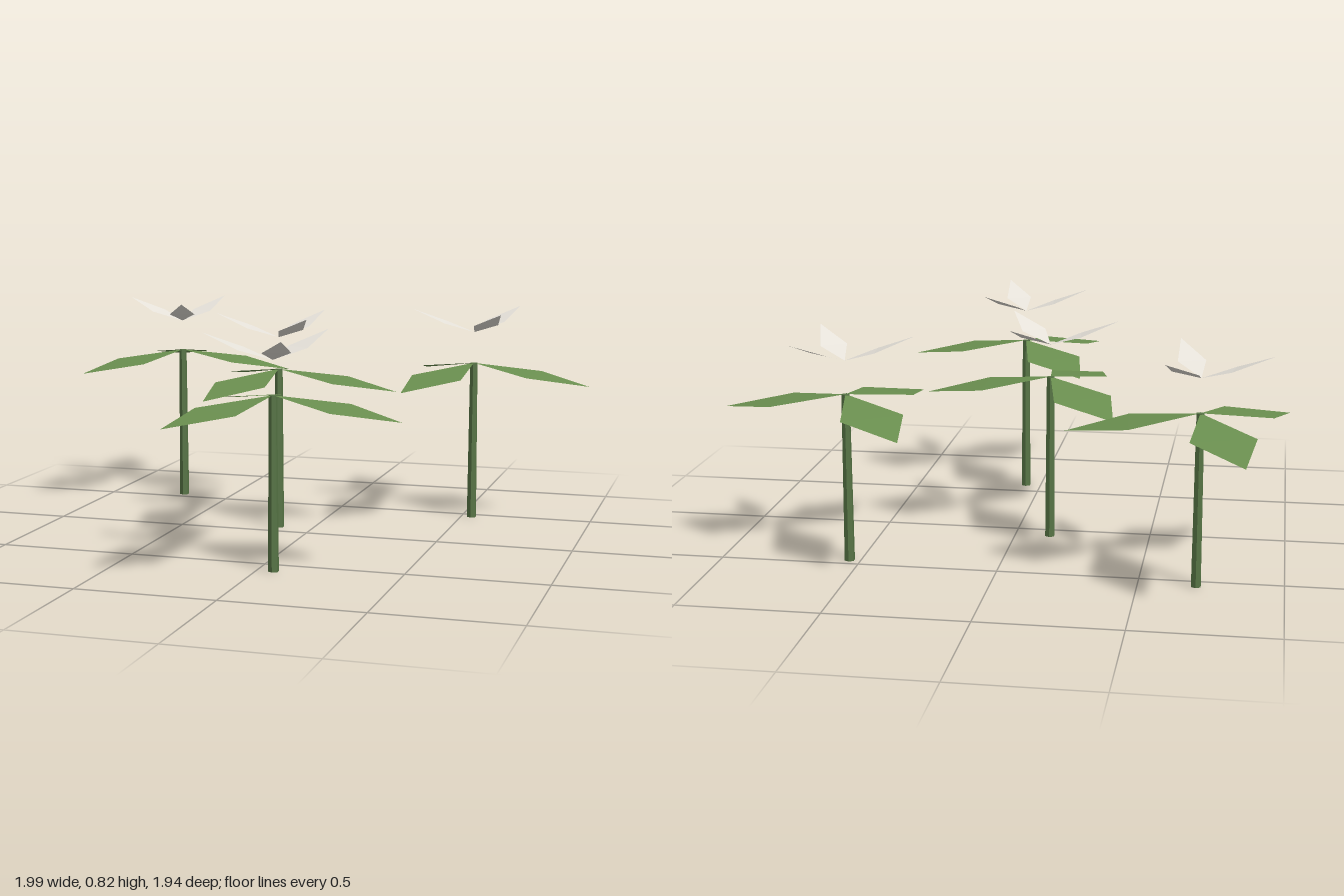
import * as THREE from 'three';

// Each plant: position and the compass angles (degrees, +x towards +z) of its leaves and petals
const PLANTS = [
  { x: -0.70, z: -0.55, leaves: [-4, -111, 131], petals: [-64, -171, 70] },
  { x: -0.13, z: -0.07, leaves: [-1, -126, 109], petals: [-61, 175, 48] },
  { x: 0.54, z: -0.46, leaves: [5.5, -126, 115], petals: [-54, 174, 55.5] },
  { x: 0.06, z: 0.59, leaves: [2.5, -125.5, 125], petals: [-56.5, 174, 66] },
];

const STEM_HEIGHT = 0.61;
const BLOOM_HEIGHT = 0.73;

// Diamond blade running along +x from the origin, its tip raised or lowered
function bladeGeometry(length, halfWidth, midX, midY, tipY) {
  const geometry = new THREE.BufferGeometry();
  geometry.setAttribute('position', new THREE.Float32BufferAttribute([
    0, 0, 0,
    midX, midY, halfWidth,
    length, tipY, 0,
    midX, midY, -halfWidth,
  ], 3));
  geometry.setIndex([0, 1, 3, 1, 2, 3]);
  geometry.computeVertexNormals();
  return geometry;
}

// Blades fanned around the stem at the given angles
function whorl(name, bladeName, geometry, material, angles, y) {
  const group = new THREE.Group();
  group.name = name;
  group.position.y = y;
  for (const angle of angles) {
    const blade = new THREE.Mesh(geometry, material);
    blade.name = bladeName;
    blade.rotation.y = -THREE.MathUtils.degToRad(angle);
    group.add(blade);
  }
  return group;
}

export function createModel() {
  const leafMaterial = new THREE.MeshStandardMaterial({ color: 0x6b9050, side: THREE.DoubleSide, flatShading: true });
  const petalMaterial = new THREE.MeshStandardMaterial({ color: 0xe6e2da, side: THREE.DoubleSide, flatShading: true });
  const stemMaterial = new THREE.MeshStandardMaterial({ color: 0x567444, flatShading: true });

  const leafGeometry = bladeGeometry(0.455, 0.115, 0.24, -0.034, -0.07);
  const petalGeometry = bladeGeometry(0.245, 0.05, 0.11, 0.036, 0.088);

  // Slim hexagonal stem
  const stemGeometry = new THREE.CylinderGeometry(0.015, 0.019, STEM_HEIGHT, 6);
  stemGeometry.translate(0, STEM_HEIGHT / 2, 0);

  const model = new THREE.Group();
  model.name = 'flowerPatch';
  for (const { x, z, leaves, petals } of PLANTS) {
    const plant = new THREE.Group();
    plant.name = 'plant';
    plant.position.set(x, 0, z);

    const stem = new THREE.Mesh(stemGeometry, stemMaterial);
    stem.name = 'stem';
    plant.add(stem);

    // Drooping leaves at the stem top, upturned petals above them
    plant.add(whorl('leaves', 'leaf', leafGeometry, leafMaterial, leaves, STEM_HEIGHT));
    plant.add(whorl('bloom', 'petal', petalGeometry, petalMaterial, petals, BLOOM_HEIGHT));
    model.add(plant);
  }
  return model;
}
